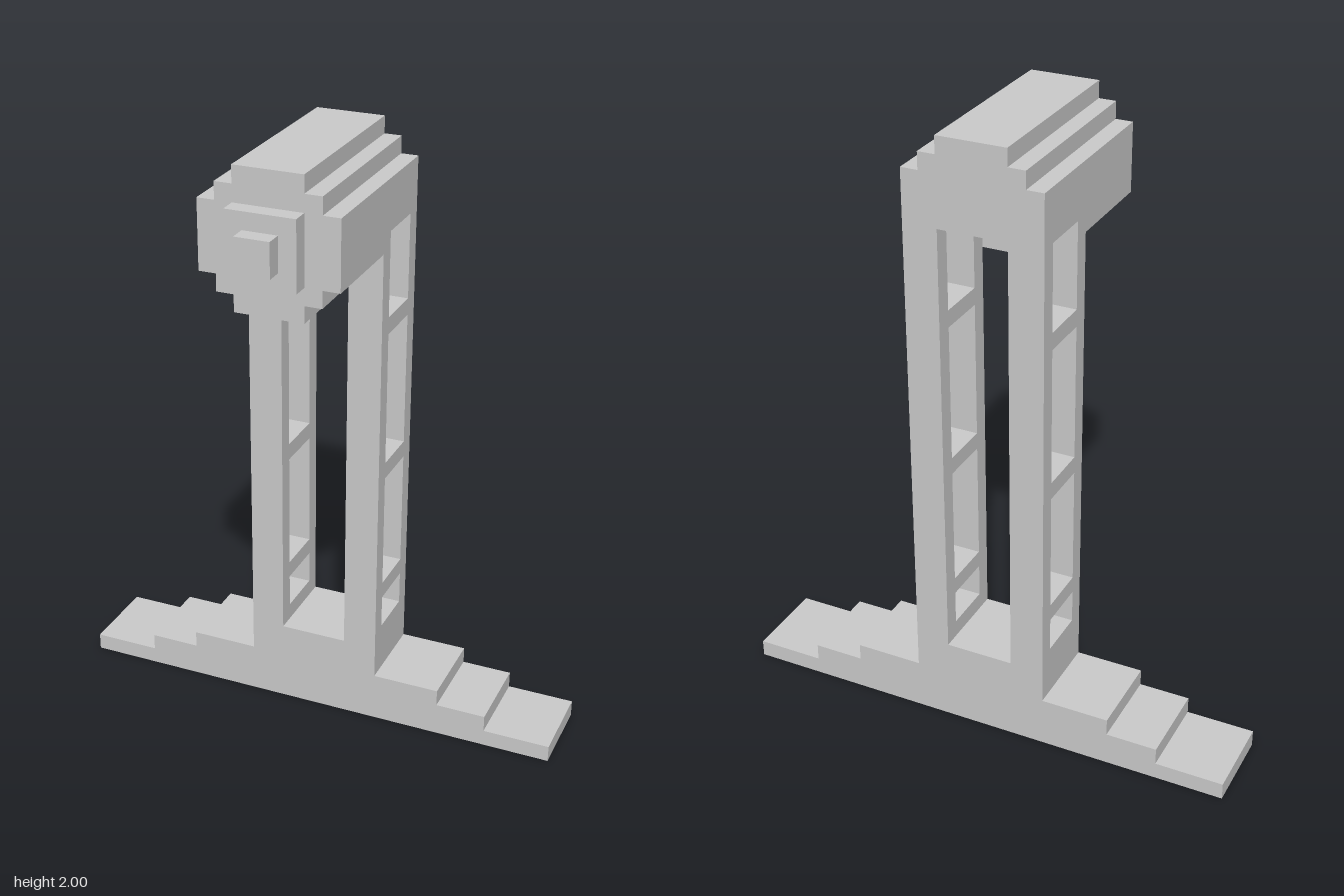
import * as THREE from 'three';

const U = 1 / 18; // one block of the stepped design
const material = new THREE.MeshStandardMaterial({ color: 0xcccccc, flatShading: true });

const toShape = (points) => new THREE.Shape(points.map(([x, y]) => new THREE.Vector2(x, y)));

// Closes a right-hand outline with its mirror image across x = 0
const mirrored = (half) => toShape([...half, ...half.map(([x, y]) => [-x, y]).reverse()]);

const extrude = (shape, depth) =>
  new THREE.ExtrudeGeometry(shape, { depth, bevelEnabled: false });

function addPart(group, name, geometry) {
  const mesh = new THREE.Mesh(geometry.scale(U, U, U), material);
  mesh.name = name;
  group.add(mesh);
}

export function createModel() {
  const model = new THREE.Group();
  model.name = 'steppedTower';

  // Stepped foot, rising to a sill between the legs
  const foot = [[15, 0], [15, 1], [11, 1], [11, 2], [8, 2], [8, 3], [4, 3], [4, 5]];
  addPart(model, 'steppedBase', extrude(mirrored(foot), 5).translate(0, 0, -6.5));

  // Ladder-like legs: side outline (z, y), open at the top, with windows below
  const legShape = toShape([
    [-6.5, 5], [-1.5, 5], [-1.5, 31], [-2.5, 31], [-2.5, 26], [-5.5, 26], [-5.5, 31], [-6.5, 31],
  ]);
  for (const [bottom, top] of [[6, 8], [9, 16], [17, 25]]) {
    legShape.holes.push(toShape([[-5.5, bottom], [-5.5, top], [-2.5, top], [-2.5, bottom]]));
  }
  for (const [name, x] of [['leftLeg', 4], ['rightLeg', -2]]) {
    addPart(model, name, extrude(legShape, 2).rotateY(-Math.PI / 2).translate(x, 0, 0));
  }

  // Head: rear part bridges the legs, front part is a full stepped octagon
  const crown = [[4, 34], [3, 34], [3, 35], [2, 35], [2, 36]];
  const chin = [[2, 28], [2, 29], [3, 29], [3, 30], [4, 30]];
  addPart(model, 'headRear', extrude(mirrored([[4, 31], ...crown]), 5).translate(0, 0, -6.5));
  addPart(model, 'headFront', extrude(mirrored([...chin, ...crown]), 6).translate(0, 0, -1.5));

  // Nested square blocks on the front face
  addPart(model, 'frontPlate', new THREE.BoxGeometry(4, 4, 1).translate(0, 32, 5));
  addPart(model, 'frontKnob', new THREE.BoxGeometry(2, 2, 1).translate(0, 32, 6));

  return model;
}
